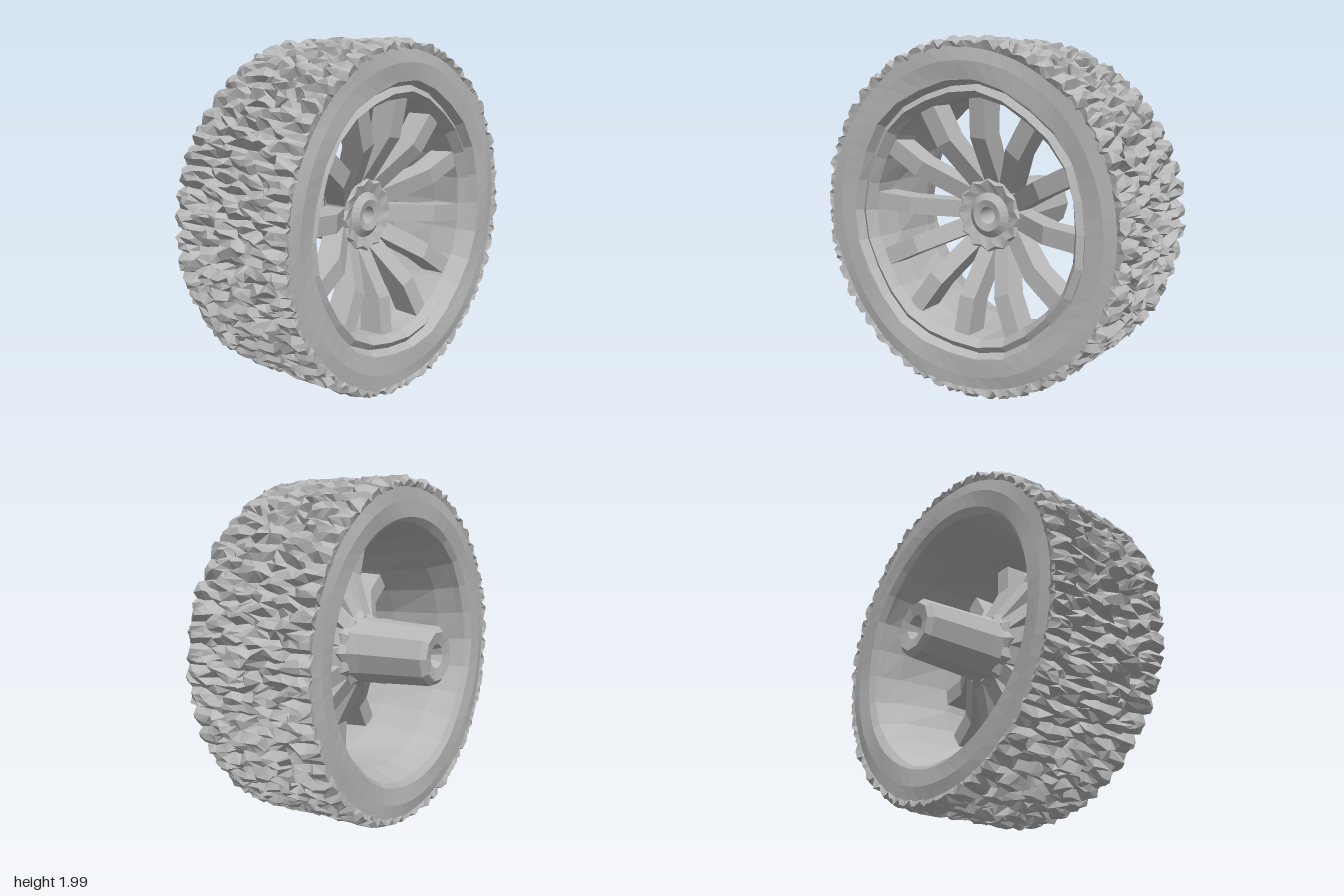
import * as THREE from 'three';

const grey = new THREE.MeshStandardMaterial({ color: 0xb8b8b8, flatShading: true });
grey.name = 'grey';

// Small seeded random generator
function seeded(seed) {
  return () => {
    seed = (seed * 16807) % 2147483647;
    return seed / 2147483647;
  };
}

// Revolves [radius, x] points about the x axis, with an optional rule for each vertex
function revolve(name, points, sides, rule) {
  const geometry = new THREE.LatheGeometry(points.map(([r, x]) => new THREE.Vector2(r, x)), sides);
  const p = geometry.attributes.position;
  if (rule) {
    for (let i = 0; i < p.count; i++) {
      const r = Math.hypot(p.getX(i), p.getZ(i));
      const a = Math.atan2(p.getZ(i), p.getX(i));
      const [nr, nx] = rule(r, p.getY(i), a);
      p.setXYZ(i, nr * Math.cos(a), nx, nr * Math.sin(a));
    }
  }
  geometry.rotateZ(-Math.PI / 2);
  geometry.computeVertexNormals();
  const mesh = new THREE.Mesh(geometry, grey);
  mesh.name = name;
  return mesh;
}

// Rough tread: a ring of jittered lugs, with notched shoulders
function makeTread() {
  const rnd = seeded(4217);
  const lugs = 52, per = 4, cols = lugs * per, rows = 18;
  const left = -0.325, right = 0.465, step = (right - left) / (rows - 3);
  const position = [], index = [];
  for (let i = 0; i < cols; i++) {
    for (let j = 0; j < rows; j++) {
      const edge = Math.min(j, rows - 1 - j);
      const band = Math.floor(j / 4);
      let x = left + (j - 1) * step;
      let a = i, r;
      if (edge === 0) {
        x = j === 0 ? left + 0.012 : right - 0.012;
        r = 0.925;
      } else {
        const shoulder = edge <= 3;
        const groove = shoulder
          ? i % per === 0
          : (i + band * 2) % per === 0 || rnd() < 0.17;
        r = groove ? 0.925 + rnd() * 0.025 : 0.968 + rnd() * 0.03;
        if (edge === 1) r -= groove ? 0 : 0.02;
        x += (rnd() - 0.5) * (edge === 1 ? 0.014 : step * 0.95);
        a += (rnd() - 0.5) * (shoulder ? 0.5 : 0.9);
      }
      const angle = (a / cols) * Math.PI * 2;
      position.push(x, r * Math.sin(angle), r * Math.cos(angle));
    }
  }
  for (let i = 0; i < cols; i++) {
    for (let j = 0; j < rows - 1; j++) {
      const p = i * rows + j, q = ((i + 1) % cols) * rows + j;
      if (rnd() < 0.5) index.push(p, p + 1, q, p + 1, q + 1, q);
      else index.push(p, p + 1, q + 1, p, q + 1, q);
    }
  }
  const geometry = new THREE.BufferGeometry();
  geometry.setAttribute('position', new THREE.Float32BufferAttribute(position, 3));
  geometry.setIndex(index);
  geometry.computeVertexNormals();
  const mesh = new THREE.Mesh(geometry, grey);
  mesh.name = 'tread';
  return mesh;
}

// Bent spokes that rise from the recessed hub to the rim
function makeSpokes() {
  const group = new THREE.Group();
  group.name = 'spokes';
  const profile = [[0.17, 0.15], [0.45, 0.335], [0.68, 0.37], [0.68, 0.22], [0.48, 0.2], [0.17, 0.02]];
  const shape = new THREE.Shape(profile.map(([r, x]) => new THREE.Vector2(r, x)));
  const width = 0.1;
  const geometry = new THREE.ExtrudeGeometry(shape, { depth: width, bevelEnabled: false });
  geometry.translate(0, 0, -width / 2);
  const axis = new THREE.Vector3(1, 0, 0);
  for (let k = 0; k < 12; k++) {
    const a = THREE.MathUtils.degToRad(-5 + k * 30);
    const radial = new THREE.Vector3(0, Math.sin(a), -Math.cos(a));
    const side = new THREE.Vector3().crossVectors(radial, axis);
    const spoke = new THREE.Mesh(geometry, grey);
    spoke.name = 'spoke';
    spoke.quaternion.setFromRotationMatrix(new THREE.Matrix4().makeBasis(radial, axis, side));
    group.add(spoke);
  }
  return group;
}

export function createModel() {
  const model = new THREE.Group();
  model.name = 'wheel';
  const wheel = new THREE.Group();
  wheel.name = 'wheelAssembly';
  wheel.position.y = 1;
  model.add(wheel);

  wheel.add(makeTread());

  // Flat tyre sides
  const ripple = (r, x, a) => [r, x + 0.005 * Math.sin(5 * a + r * 20)];
  wheel.add(revolve('outerSidewall', [[0.95, 0.452], [0.86, 0.462], [0.765, 0.455]], 52, ripple));
  wheel.add(revolve('innerSidewall', [[0.765, -0.315], [0.86, -0.322], [0.95, -0.312]], 52, ripple));

  // Rim lip, grooved and slightly uneven, running into the tapered barrel
  const uneven = (r, x, a) => [r * (1 + 0.012 * Math.sin(7 * a + x * 9)), x];
  wheel.add(revolve('rim', [
    [0.79, 0.452], [0.76, 0.45], [0.735, 0.4], [0.7, 0.425], [0.665, 0.37],
    [0.66, 0.2], [0.69, -0.12], [0.73, -0.24], [0.74, -0.28], [0.79, -0.312],
  ], 26, uneven));

  wheel.add(makeSpokes());

  // Scalloped hub face with a centre hole
  const scallop = (r, x, a) => [r > 0.18 ? r * (0.96 + 0.06 * Math.cos(12 * a)) : r, x];
  wheel.add(revolve('hub', [
    [0.05, 0.0], [0.2, 0.0], [0.225, 0.03], [0.225, 0.16], [0.2, 0.185],
    [0.13, 0.165], [0.09, 0.195], [0.05, 0.185], [0.05, 0.0],
  ], 24, scallop));

  // Hollow axle sleeve reaching out of the back
  wheel.add(revolve('axleSleeve', [
    [0.05, -0.42], [0.07, -0.475], [0.14, -0.488], [0.17, -0.46],
    [0.19, -0.06], [0.2, 0.01], [0.05, 0.01], [0.05, -0.42],
  ], 10));

  return model;
}
